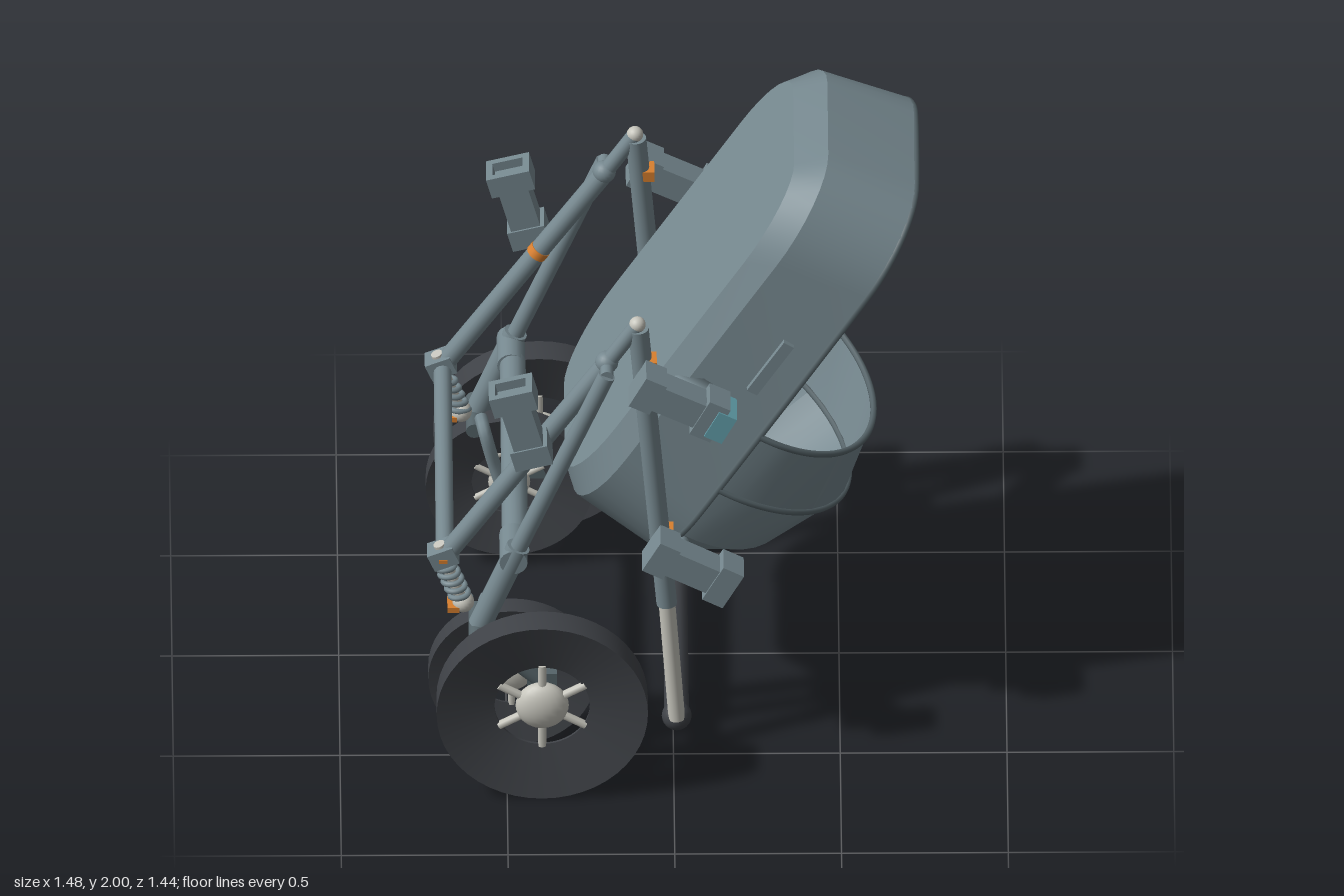
import * as THREE from 'three';
import { toCreasedNormals } from 'three/addons/utils/BufferGeometryUtils.js';

const mat = (name, color, side = THREE.FrontSide) => {
  const m = new THREE.MeshStandardMaterial({ color, side });
  m.name = name;
  return m;
};
const V = (x, y, z) => new THREE.Vector3(x, y, z);

// Skin a list of cross-sections; closed rings may get a cap on the first ring
function loft(rings, closed, cap, inward = false) {
  const n = rings[0].length, pos = rings.flat().flatMap(p => [p.x, p.y, p.z]), idx = [];
  const tri = (a, b, c) => (inward ? idx.push(a, c, b) : idx.push(a, b, c));
  for (let i = 0; i < rings.length - 1; i++) {
    for (let j = 0; j < (closed ? n : n - 1); j++) {
      const k = (j + 1) % n, a = i * n + j, b = i * n + k;
      tri(a, b, b + n);
      tri(a, b + n, a + n);
    }
  }
  if (cap) for (let j = 1; j < n - 1; j++) tri(0, j + 1, j);
  const g = new THREE.BufferGeometry();
  g.setAttribute('position', new THREE.Float32BufferAttribute(pos, 3));
  g.setIndex(idx);
  return toCreasedNormals(g, 0.4);
}

// Rectangle with elliptical corners (ry by rz) in the plane x = depth
function roundedRing(depth, y0, y1, hw, ry, rz) {
  const pts = [], steps = 8;
  const corners = [[y1 - ry, hw - rz], [y0 + ry, hw - rz], [y0 + ry, rz - hw], [y1 - ry, rz - hw]];
  corners.forEach(([cy, cz], q) => {
    for (let i = 0; i <= steps; i++) {
      const a = (q + i / steps) * Math.PI / 2;
      pts.push(V(depth, cy + ry * Math.cos(a), cz + rz * Math.sin(a)));
    }
  });
  return pts;
}

// Half-elliptical hoop that rises from the tub rim
function arch(y, w, h) {
  const pts = [];
  for (let i = 0; i <= 20; i++) {
    const a = i / 20 * Math.PI;
    pts.push(V(-0.38 + h * Math.sin(a), y, w * Math.cos(a)));
  }
  return pts;
}

export function createModel() {
  const root = new THREE.Group();
  root.name = 'stroller';
  const body = mat('slate', 0x76888f);
  const cloth = mat('slateFabric', 0x76888f, THREE.DoubleSide);
  const trim = mat('darkTrim', 0x566469);
  const lining = mat('creamLining', 0xc4c3b5, THREE.DoubleSide);
  const metal = mat('lightMetal', 0xc6c5bc);
  const rubber = mat('rubber', 0x3e4146);
  const orange = mat('orange', 0xd9802f);
  const teal = mat('teal', 0x64a3af);

  const add = (parent, name, geo, m, p) => {
    const mesh = new THREE.Mesh(geo, m);
    mesh.name = name;
    if (p) mesh.position.copy(p);
    parent.add(mesh);
    return mesh;
  };
  const rod = (parent, name, a, b, r, m, sides = 16) => {
    const d = b.clone().sub(a);
    const mesh = add(parent, name, new THREE.CylinderGeometry(r, r, d.length(), sides), m, a.clone().lerp(b, 0.5));
    mesh.quaternion.setFromUnitVectors(V(0, 1, 0), d.normalize());
    return mesh;
  };
  const ball = (parent, name, p, r, m) => add(parent, name, new THREE.SphereGeometry(r, 20, 14), m, p);
  const box = (parent, name, w, h, d, m, p) => add(parent, name, new THREE.BoxGeometry(w, h, d), m, p);
  const tube = (parent, name, pts, r, m, closed = false, seg = 80) =>
    add(parent, name, new THREE.TubeGeometry(new THREE.CatmullRomCurve3(pts, closed), seg, r, 8, closed), m);

  // Reclined tub: local x is its depth, local y runs along its back
  const seat = new THREE.Group();
  seat.name = 'seat';
  seat.rotation.z = -0.558;
  root.add(seat);
  add(seat, 'tubShell', loft([
    roundedRing(-0.738, 0.572, 1.87, 0.355, 0.29, 0.17),
    roundedRing(-0.667, 0.505, 1.95, 0.4, 0.3, 0.22),
    roundedRing(-0.38, 0.465, 1.994, 0.425, 0.29, 0.25)], true, true), cloth);
  add(seat, 'tubLining', loft([
    roundedRing(-0.655, 0.53, 1.93, 0.378, 0.29, 0.22),
    roundedRing(-0.38, 0.485, 1.975, 0.408, 0.28, 0.24)], true, true, true), lining);
  tube(seat, 'tubRim', roundedRing(-0.38, 0.47, 1.985, 0.418, 0.285, 0.245), 0.011, trim, true, 160);

  // Bulging foot cover with its hoops
  const sections = [[0.47, 0.19, 0.015], [0.515, 0.3, 0.165], [0.65, 0.4, 0.375],
    [0.865, 0.425, 0.465], [1.1, 0.428, 0.405]].map(a => arch(...a));
  add(seat, 'footCover', loft(sections, false, false), cloth);
  sections.slice(3).forEach(pts => tube(seat, 'coverHoop', pts, 0.01, trim));

  // Wheel: deeply dished tyre with sharp edges, spokes and a flattened hub
  const wheel = (name, p, k, width) => {
    const g = new THREE.Group();
    g.name = name;
    g.position.copy(p);
    g.scale.set(k, k, width / 0.09);
    root.add(g);
    const profile = [[0.143, -0.004], [0.317, -0.045], [0.317, 0.045],
      [0.143, 0.004], [0.143, -0.004]].map(a => new THREE.Vector2(...a));
    const tyre = toCreasedNormals(new THREE.LatheGeometry(profile, 48), 0.5);
    add(g, 'tyre', tyre.rotateX(Math.PI / 2), rubber);
    ball(g, 'hub', V(0, 0, 0), 0.08, metal).scale.z = 0.55;
    for (let i = 0; i < 6; i++) {
      const a = (i + 0.5) * Math.PI / 3;
      rod(g, 'spoke', V(0, 0, 0), V(0.15 * Math.cos(a), 0.15 * Math.sin(a), 0), 0.013, metal, 8);
    }
  };

  // Open-ended clip: foot, shaft and wide head along its own y axis
  const clip = (name, p, angle) => {
    const g = new THREE.Group();
    g.name = name;
    g.position.copy(p);
    g.rotation.z = angle;
    root.add(g);
    box(g, 'clipFoot', 0.115, 0.07, 0.096, body, V(0, -0.11, 0));
    box(g, 'clipShaft', 0.09, 0.16, 0.085, body);
    for (const s of [-1, 1]) {
      box(g, 'clipHeadSide', 0.02, 0.07, 0.096, body, V(0.057 * s, 0.1, 0));
      box(g, 'clipHeadEnd', 0.134, 0.07, 0.02, body, V(0, 0.1, 0.038 * s));
    }
    box(g, 'clipHeadFloor', 0.11, 0.03, 0.08, body, V(0, 0.09, 0));
  };

  for (const m of [1, -1]) {
    const P = (x, y, z) => V(x, y, z * m);
    const z = 0.475;

    // Front leg with telescoping foot
    rod(root, 'frontLeg', P(-0.105, 1.58, z), P(-0.02, 0.55, z), 0.031, body);
    rod(root, 'frontLegFoot', P(-0.02, 0.56, z), P(0.01, 0.12, z), 0.025, metal);
    ball(root, 'footKnob', P(0.01, 0.11, 0.45), 0.045, rubber);
    box(root, 'legButton', 0.05, 0.035, 0.058, orange, P(-0.075, 1.455, z));
    box(root, 'legButton', 0.045, 0.028, 0.058, orange, P(-0.022, 0.82, z));

    // Apex and folding joint
    ball(root, 'apexCap', P(-0.108, 1.595, z), 0.025, metal);
    rod(root, 'apexLink', P(-0.11, 1.59, z), P(-0.2, 1.45, z), 0.024, body);
    ball(root, 'foldJoint', P(-0.2, 1.455, z), 0.035, body);
    rod(root, 'foldPin', P(-0.2, 1.45, z), P(-0.2, 1.45, 0.545), 0.02, body);

    // Rear stay and rear leg
    rod(root, 'rearStay', P(-0.2, 1.45, z), P(-0.68, 0.74, z), 0.03, body);
    rod(root, 'stayRing', P(-0.39, 1.169, z), P(-0.405, 1.147, z), 0.032, orange);
    rod(root, 'rearLeg', P(-0.2, 1.45, 0.535), P(-0.48, 0.77, 0.535), 0.026, body);
    rod(root, 'rearLegLower', P(-0.465, 0.81, 0.535), P(-0.58, 0.52, 0.535), 0.036, body);
    rod(root, 'rearLegKnuckle', P(-0.48, 0.77, 0.42), P(-0.48, 0.77, 0.565), 0.042, body);

    // Spring damper
    box(root, 'damperTop', 0.08, 0.06, 0.07, body, P(-0.69, 0.74, z)).rotation.z = 0.4;
    rod(root, 'damperPin', P(-0.69, 0.74, z), P(-0.703, 0.776, z), 0.018, metal);
    box(root, 'damperTopBand', 0.026, 0.014, 0.074, orange, P(-0.69, 0.735, z));
    rod(root, 'damperRod', P(-0.69, 0.73, z), P(-0.63, 0.55, z), 0.018, metal);
    const coil = [];
    for (let i = 0; i <= 60; i++) {
      const t = i / 60, a = t * Math.PI * 10;
      coil.push(P(-0.685 + 0.05 * t + 0.03 * Math.cos(a), 0.7 - 0.13 * t, z + 0.024 * Math.sin(a)));
    }
    tube(root, 'damperSpring', coil, 0.009, body, false, 120);
    ball(root, 'damperBase', P(-0.63, 0.56, z), 0.033, metal);
    box(root, 'damperBaseBand', 0.036, 0.018, 0.06, orange, P(-0.66, 0.548, z));

    // Swing arms, axle block and wheels
    rod(root, 'swingPivot', P(-0.59, 0.51, 0.44), P(-0.59, 0.51, 0.605), 0.025, trim);
    rod(root, 'swingArm', P(-0.59, 0.51, 0.565), P(-0.39, 0.325, 0.565), 0.025, trim);
    box(root, 'axleBlock', 0.09, 0.1, 0.05, trim, P(-0.395, 0.315, 0.555));
    rod(root, 'axle', P(-0.39, 0.322, 0.53), P(-0.39, 0.322, 0.67), 0.018, metal);
    tube(root, 'innerArm', [P(-0.57, 0.54, 0.47), P(-0.56, 0.53, 0.415), P(-0.53, 0.41, 0.405),
      P(-0.5, 0.31, 0.415), P(-0.49, 0.295, 0.47)], 0.02, body, false, 24);
    wheel('largeWheel', P(-0.395, 0.32, 0.675), 1, 0.09);
    wheel('smallWheel', P(-0.485, 0.295, z), 0.79, 0.065);

    // Clips and the mounts that carry the tub
    clip('rearClip', P(-0.455, 1.29, 0.55), 0.26);
    clip('upperClip', P(0.02, 1.365, 0.55), -2.05);
    clip('lowerClip', P(0.06, 0.745, 0.55), -2.07);
    const pad = box(root, 'upperClipPad', 0.1, 0.06, 0.106, teal, P(0.14, 1.3, 0.55));
    pad.rotation.z = -2.05;
    rod(root, 'upperMount', P(0.12, 1.33, 0.52), P(0.03, 1.3, 0.385), 0.05, body, 4);
    rod(root, 'lowerMount', P(0.02, 0.72, 0.52), P(0.02, 0.72, 0.4), 0.028, body);

    // Slim side handle on the tub
    box(seat, 'sideHandle', 0.036, 0.21, 0.018, body, P(-0.49, 1.335, 0.422));
  }

  // Cross bars
  rod(root, 'footBar', V(0.01, 0.11, -0.45), V(0.01, 0.11, 0.45), 0.037, rubber);
  rod(root, 'rearThinBar', V(-0.685, 0.73, -0.46), V(-0.685, 0.73, 0.46), 0.027, body);
  rod(root, 'rearThickBar', V(-0.475, 0.77, -0.44), V(-0.475, 0.77, 0.44), 0.039, body);
  return root;
}
